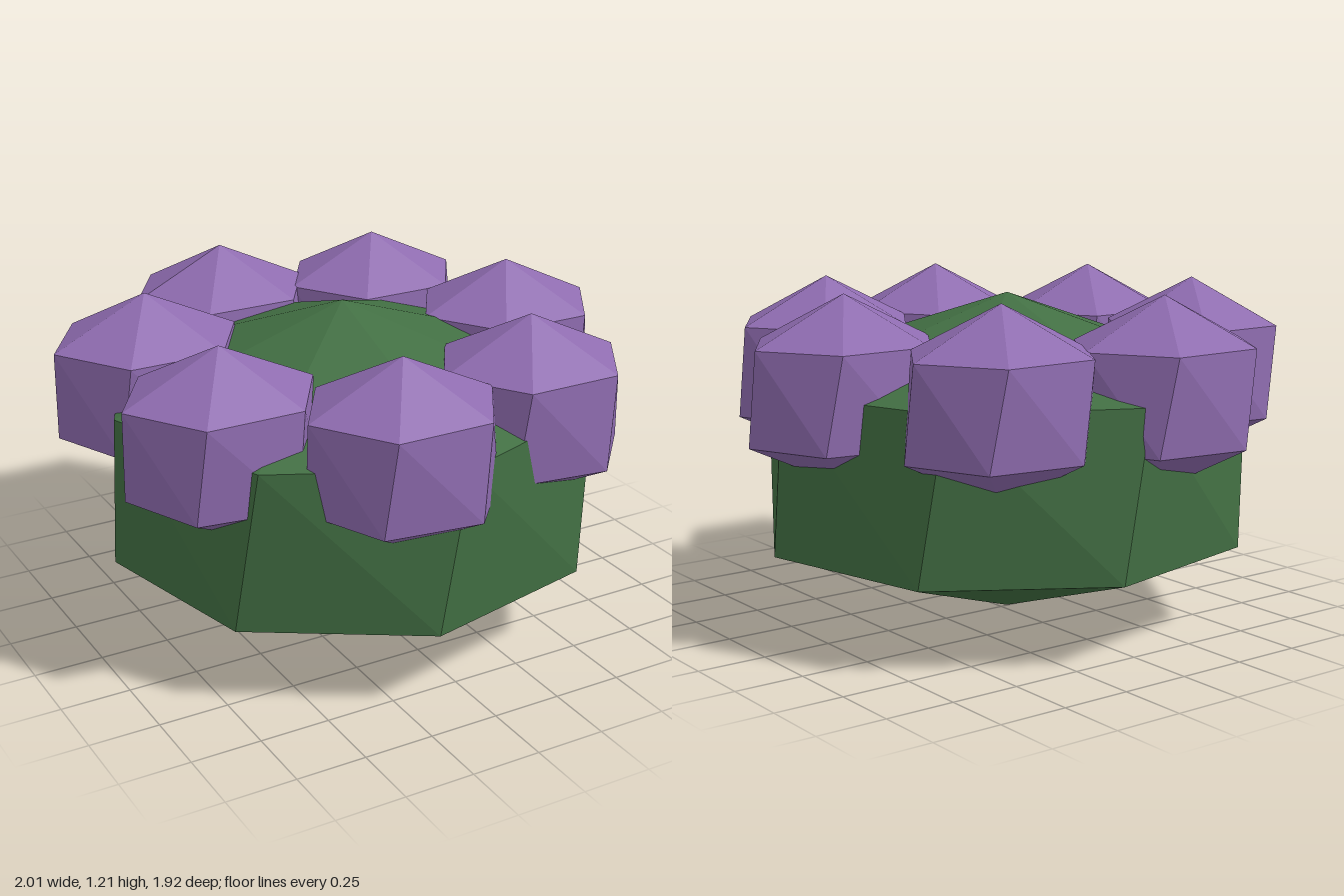
import * as THREE from 'three';

// Faceted blob with three bands: the two rings are twisted about y and nudged sideways
function twistedBlob(sides, rx, ry, rz, upper, lower) {
  const geo = new THREE.SphereGeometry(1, sides, 3);
  const pos = geo.attributes.position;
  for (let i = 0; i < pos.count; i++) {
    const x = pos.getX(i), y = pos.getY(i), z = pos.getZ(i);
    const ring = Math.abs(y) > 0.9 ? { twist: 0, dx: 0, dz: 0 } : y > 0 ? upper : lower;
    const t = THREE.MathUtils.degToRad(ring.twist);
    pos.setXYZ(
      i,
      (x * Math.cos(t) - z * Math.sin(t)) * rx + ring.dx,
      y * ry,
      (x * Math.sin(t) + z * Math.cos(t)) * rz + ring.dz
    );
  }
  geo.computeVertexNormals();
  return geo;
}

export function createModel() {
  const group = new THREE.Group();
  const green = new THREE.MeshStandardMaterial({ color: 0x426f43, flatShading: true });
  const purple = new THREE.MeshStandardMaterial({ color: 0x8f6cb0, flatShading: true });
  const cx = -0.03, cz = 0.005;

  // Squat eight-sided body
  const body = new THREE.Mesh(
    twistedBlob(8, 1.02, 0.585, 1.02,
      { twist: 3.2, dx: 0.02, dz: 0.013 },
      { twist: 9.4, dx: 0.02, dz: 0.013 }),
    green
  );
  body.name = 'body';
  body.position.set(cx, 0.585, cz);
  group.add(body);

  // Seven six-sided buds around the shoulder, all facing the same way
  const budGeo = twistedBlob(6, 0.397, 0.333, 0.358,
    { twist: 0, dx: 0, dz: 0 },
    { twist: 8.8, dx: 0.01, dz: 0 });
  const buds = new THREE.Group();
  buds.name = 'buds';
  for (let i = 0; i < 7; i++) {
    const a = (i / 7) * Math.PI * 2;
    const bud = new THREE.Mesh(budGeo, purple);
    bud.name = `bud${i + 1}`;
    bud.position.set(cx + Math.cos(a) * 0.69, 0.878, cz + Math.sin(a) * 0.69);
    buds.add(bud);
  }
  group.add(buds);
  return group;
}
